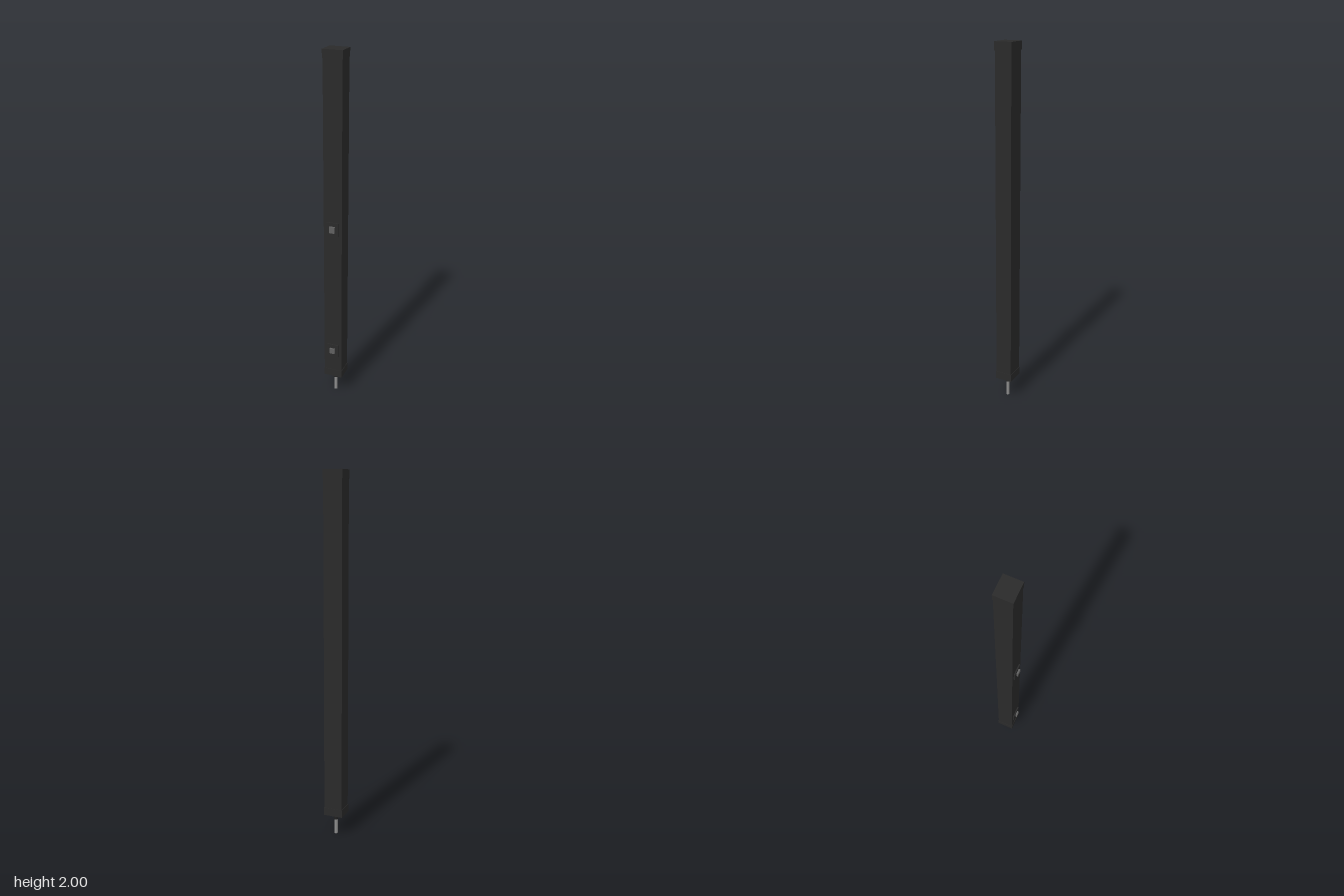
import * as THREE from 'three';

export function createModel() {
  const model = new THREE.Group();
  const mat = (name, color) => {
    const m = new THREE.MeshStandardMaterial({ color });
    m.name = name;
    return m;
  };
  const casing = mat('charcoal casing', 0x2a2a2a);
  const trim = mat('black trim', 0x222222);
  const grey = mat('grey button', 0x606060);
  const steel = mat('steel', 0x8c8c8c);
  const axisZ = -0.008;

  const add = (name, geometry, material, x, y, z, parent = model) => {
    const mesh = new THREE.Mesh(geometry, material);
    mesh.name = name;
    mesh.position.set(x, y, z);
    parent.add(mesh);
    return mesh;
  };

  // Long square housing with slightly wider end caps
  add('housing', new THREE.BoxGeometry(0.104, 1.86, 0.092), casing, 0, 1.06, axisZ);
  add('topCap', new THREE.BoxGeometry(0.109, 0.044, 0.097), casing, 0, 1.978, axisZ);
  add('bottomCap', new THREE.BoxGeometry(0.109, 0.044, 0.097), casing, 0, 0.142, axisZ);

  // Two switches on the front, each a thin plate with a raised button
  for (const [name, y, height] of [['upperSwitch', 1.06, 0.036], ['lowerSwitch', 0.298, 0.031]]) {
    const group = new THREE.Group();
    group.name = name;
    group.position.set(0, y, 0);
    model.add(group);
    add('switchPlate', new THREE.BoxGeometry(0.067, 0.077, 0.008), casing, 0, 0, 0.041, group);
    add('switchButton', new THREE.BoxGeometry(0.03, height, 0.011), grey, 0, 0, 0.0495, group);
  }

  // Cable collar and metal pin underneath
  add('collar', new THREE.CylinderGeometry(0.014, 0.011, 0.036, 24), trim, 0, 0.103, axisZ);
  add('pin', new THREE.CylinderGeometry(0.0095, 0.0095, 0.088, 24), steel, 0, 0.044, axisZ);

  return model;
}
